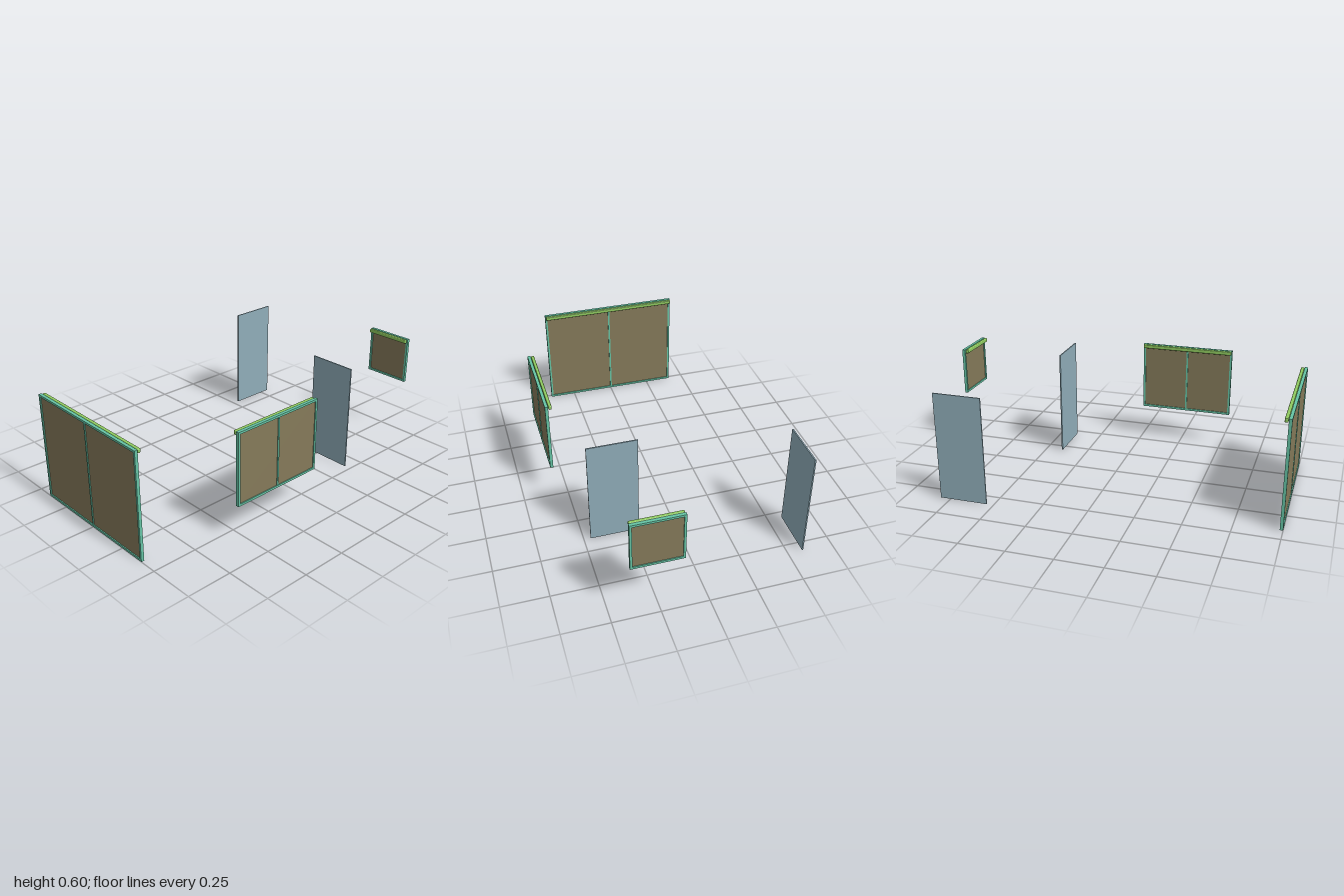
import * as THREE from 'three';
import { RoundedBoxGeometry } from 'three/addons/geometries/RoundedBoxGeometry.js';

const material = (name, color) => {
  const m = new THREE.MeshStandardMaterial({ color });
  m.name = name;
  return m;
};

export function createModel() {
  const frameGreen = material('frameGreen', 0x66c4a5);
  const blindLime = material('blindLime', 0x90cb60);
  const paneBrown = material('paneBrown', 0x857a5a);
  const doorBlue = material('doorBlue', 0x90adb9);

  const model = new THREE.Group();
  model.name = 'windowsAndDoors';

  const TOP = 0.6, BAR = 0.012, DEPTH = 0.017;

  const add = (parent, name, geometry, mat, x, y, z) => {
    const mesh = new THREE.Mesh(geometry, mat);
    mesh.name = name;
    mesh.position.set(x, y, z);
    parent.add(mesh);
  };

  // Window facing local +z: frame, optional mullion, pane and blind box behind
  function addWindow(name, width, height, split, x, z, turn) {
    const group = new THREE.Group();
    group.name = name;
    const w = width / 2, mid = TOP - height / 2;

    const outline = new THREE.Shape();
    outline.moveTo(-w, -height / 2).lineTo(w, -height / 2);
    outline.lineTo(w, height / 2).lineTo(-w, height / 2).closePath();
    const iw = w - BAR, ih = height / 2 - BAR;
    const hole = new THREE.Path();
    hole.moveTo(-iw, -ih).lineTo(-iw, ih).lineTo(iw, ih).lineTo(iw, -ih).closePath();
    outline.holes.push(hole);
    const frame = new THREE.ExtrudeGeometry(outline, { depth: DEPTH, bevelEnabled: false });
    frame.translate(0, 0, -DEPTH / 2);
    add(group, 'frame', frame, frameGreen, 0, mid, 0);

    if (split) {
      add(group, 'mullion', new THREE.BoxGeometry(0.01, ih * 2, 0.014), frameGreen, 0, mid, 0);
    }
    add(group, 'pane', new THREE.BoxGeometry(iw * 2, ih * 2, 0.006), paneBrown, 0, mid, 0);
    add(group, 'blindBox', new RoundedBoxGeometry(width - 0.006, 0.022, 0.018, 3, 0.005),
      blindLime, 0, TOP - 0.011, -0.02);

    group.position.set(x, 0, z);
    group.rotation.y = turn;
    model.add(group);
  }

  addWindow('largeWindow', 0.811, 0.6, true, -0.9915, -0.003, -Math.PI / 2);
  addWindow('frontWindow', 0.541, 0.405, true, -0.274, 0.5795, 0);
  addWindow('smallWindow', 0.27, 0.27, false, 0.9915, 0.268, Math.PI / 2);

  // Two plain door leaves standing on the ground
  const leaf = (w, d) => new THREE.BoxGeometry(w, TOP, d);
  add(model, 'innerDoor', leaf(0.007, 0.268), doorBlue, 0.403, TOP / 2, 0.329);
  add(model, 'backDoor', leaf(0.268, 0.007), doorBlue, 0.674, TOP / 2, -0.5845);

  return model;
}
